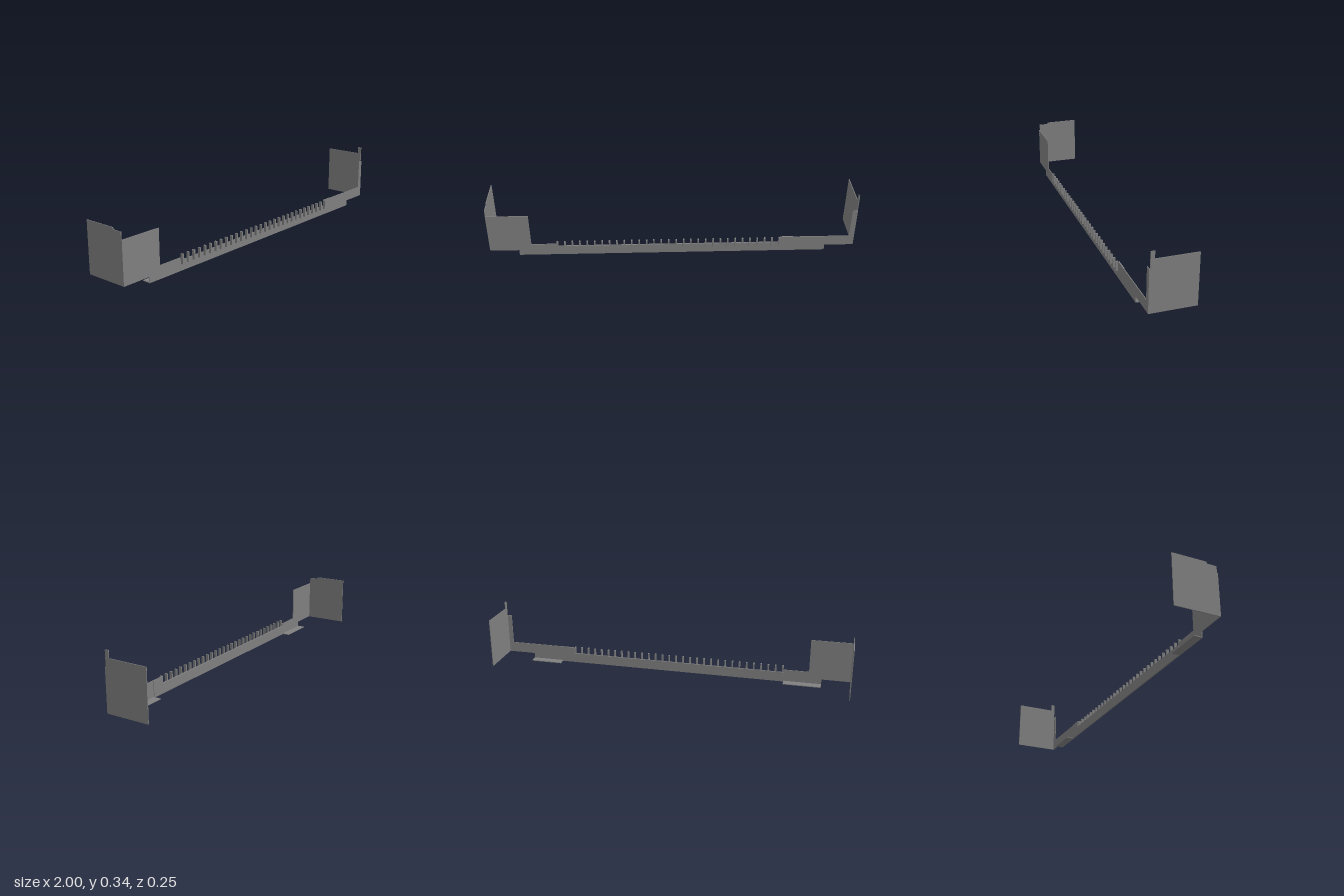
import * as THREE from 'three';

const T = 0.004; // sheet thickness
const FRONT = 0.115; // outer face of the front plate

export function createModel() {
  const model = new THREE.Group();
  const material = new THREE.MeshStandardMaterial({ color: 0x7f7f7f, flatShading: true });

  const add = (name, geometry, parent = model) => {
    const mesh = new THREE.Mesh(geometry, material);
    mesh.name = name;
    parent.add(mesh);
    return mesh;
  };
  // Box given by its limits on each axis
  const box = (name, x0, x1, y0, y1, z0, z1, parent) =>
    add(name, new THREE.BoxGeometry(x1 - x0, y1 - y0, z1 - z0), parent)
      .position.set((x0 + x1) / 2, (y0 + y1) / 2, (z0 + z1) / 2);
  // Flat sheet cut from an outline
  const sheet = (points) => new THREE.ExtrudeGeometry(
    new THREE.Shape(points.map(([x, y]) => new THREE.Vector2(x, y))),
    { depth: T, bevelEnabled: false });

  // Long front plate with its tall ends, raised left run and lower edge behind the teeth
  add('frontPlate', sheet([
    [-1, 0.032], [-0.842, 0.032], [-0.842, 0], [0.842, 0], [0.842, 0.032], [1, 0.032],
    [1, 0.258], [0.972, 0.258], [0.972, 0.09], [0.592, 0.09], [0.592, 0.055],
    [-0.633, 0.055], [-0.633, 0.07], [-0.772, 0.07], [-0.772, 0.258], [-1, 0.258],
  ])).position.z = FRONT - T;

  // Thicker middle section behind the teeth
  add('backingStrip', sheet([
    [-0.633, 0], [0.663, 0], [0.663, 0.09], [0.592, 0.09], [0.592, 0.055], [-0.633, 0.055],
  ])).position.z = FRONT - T - 0.003;

  // Bent feet under both ends
  box('rightFoot', -0.842, -0.635, 0, T, 0.068, FRONT - T);
  box('leftFoot', 0.663, 0.842, 0, T, 0.068, FRONT - T);

  // Side walls, outlined in (-z, y) and turned to face sideways
  const wall = (name, x, points) => {
    const mesh = add(name, sheet(points.map(([z, y]) => [-z, y])));
    mesh.rotation.y = Math.PI / 2;
    mesh.position.x = x;
  };
  wall('leftWall', 1 - T, [
    [FRONT, 0.032], [-0.127, 0.032], [-0.127, 0.305], [0.089, 0.305], [0.089, 0.344],
    [0.11, 0.344], [0.11, 0.262], [0.107, 0.258], [FRONT, 0.258],
  ]);
  wall('rightWall', -1, [
    [FRONT, 0.032], [-0.127, 0.032], [-0.127, 0.305], [0.055, 0.305], [0.06, 0.295],
    [0.11, 0.295], [0.11, 0.258], [FRONT, 0.258],
  ]);

  // Row of upright teeth along the front
  const teeth = new THREE.Group();
  teeth.name = 'teeth';
  model.add(teeth);
  const count = 31;
  for (let i = 0; i < count; i++) {
    const x = THREE.MathUtils.lerp(-0.628, 0.587, i / (count - 1));
    box('tooth', x - 0.004, x + 0.004, 0.037, 0.09, FRONT - 0.001, 0.128, teeth);
  }
  return model;
}
